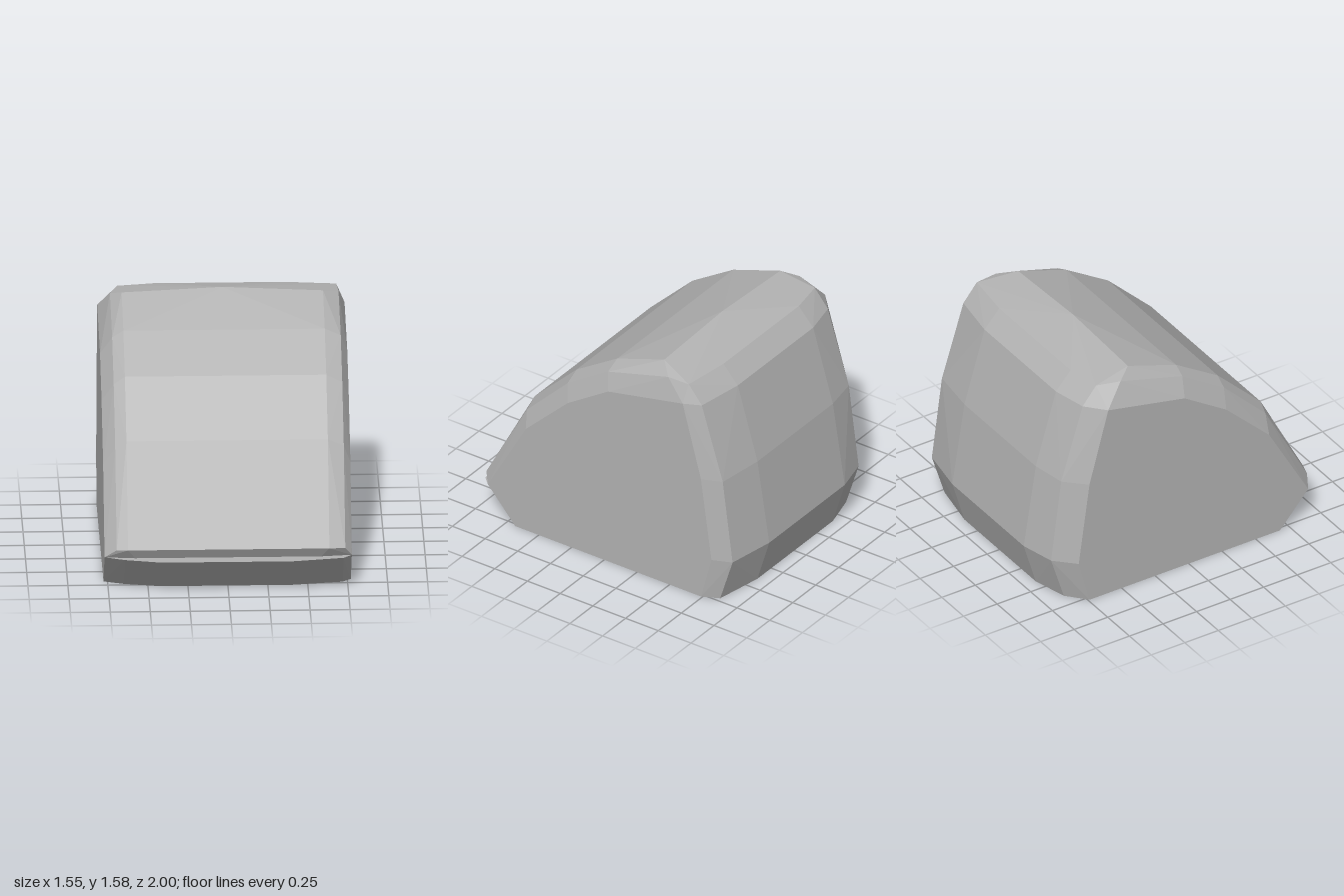
import * as THREE from 'three';
import { ConvexGeometry } from 'three/addons/geometries/ConvexGeometry.js';

// Columns across the width: [left x, right x] of the broad face, bevel and flank
const CENTRE = [-0.42, 0.40], FACE = [-0.63, 0.63];
const FRONT_BEVEL = [-0.70, 0.73], BACK_BEVEL = [-0.65, 0.72], FLANK = [-0.775, 0.772];

// Repeat a [z, y] profile at both x positions of a column
const spread = (column, profile) =>
  column.flatMap((x) => profile.map(([z, y]) => new THREE.Vector3(x, y, z)));

export function createModel() {
  const group = new THREE.Group();
  const stone = new THREE.MeshStandardMaterial({ color: 0xb2b2b2 });
  stone.name = 'pale grey';
  stone.flatShading = true;

  const add = (name, points) => {
    const mesh = new THREE.Mesh(new ConvexGeometry(points), stone);
    mesh.name = name;
    group.add(mesh);
  };

  // Main block: sloping faceted front, crowned top, steep rounded back
  add('body', [
    new THREE.Vector3(0, 1.575, -0.36),
    ...spread(FACE, [[0.95, 0.3], [0.63, 0.91], [0.31, 1.225], [0, 1.42], [-0.36, 1.545]]),
    ...spread(FRONT_BEVEL, [[0.93, 0.295], [0.62, 0.865], [0.31, 1.175], [0, 1.375], [-0.46, 1.505]]),
    ...spread(CENTRE, [[0.78, 0], [-0.65, 1.5], [-0.76, 1.38], [-0.91, 0.87], [-1, 0.3], [-0.91, 0]]),
    ...spread(BACK_BEVEL, [[0.73, 0], [-0.61, 1.5], [-0.71, 1.38], [-0.87, 0.87], [-0.945, 0.3], [-0.85, 0]]),
    ...spread(FLANK, [
      [0.68, 0], [0.89, 0.235], [0.6, 0.75], [0.28, 1.06], [-0.03, 1.26],
      [-0.6, 1.38], [-0.74, 0.87], [-0.82, 0.3], [-0.74, 0],
    ]),
  ]);

  // Undercut foot whose lip juts out below the front slope
  add('frontLip', [
    ...spread(CENTRE, [[0.78, 0], [1, 0.235], [0.5, 0], [0.5, 0.235]]),
    ...spread(BACK_BEVEL, [[0.73, 0], [0.945, 0.235]]),
    ...spread(FLANK, [[0.68, 0], [0.89, 0.235]]),
  ]);

  return group;
}
